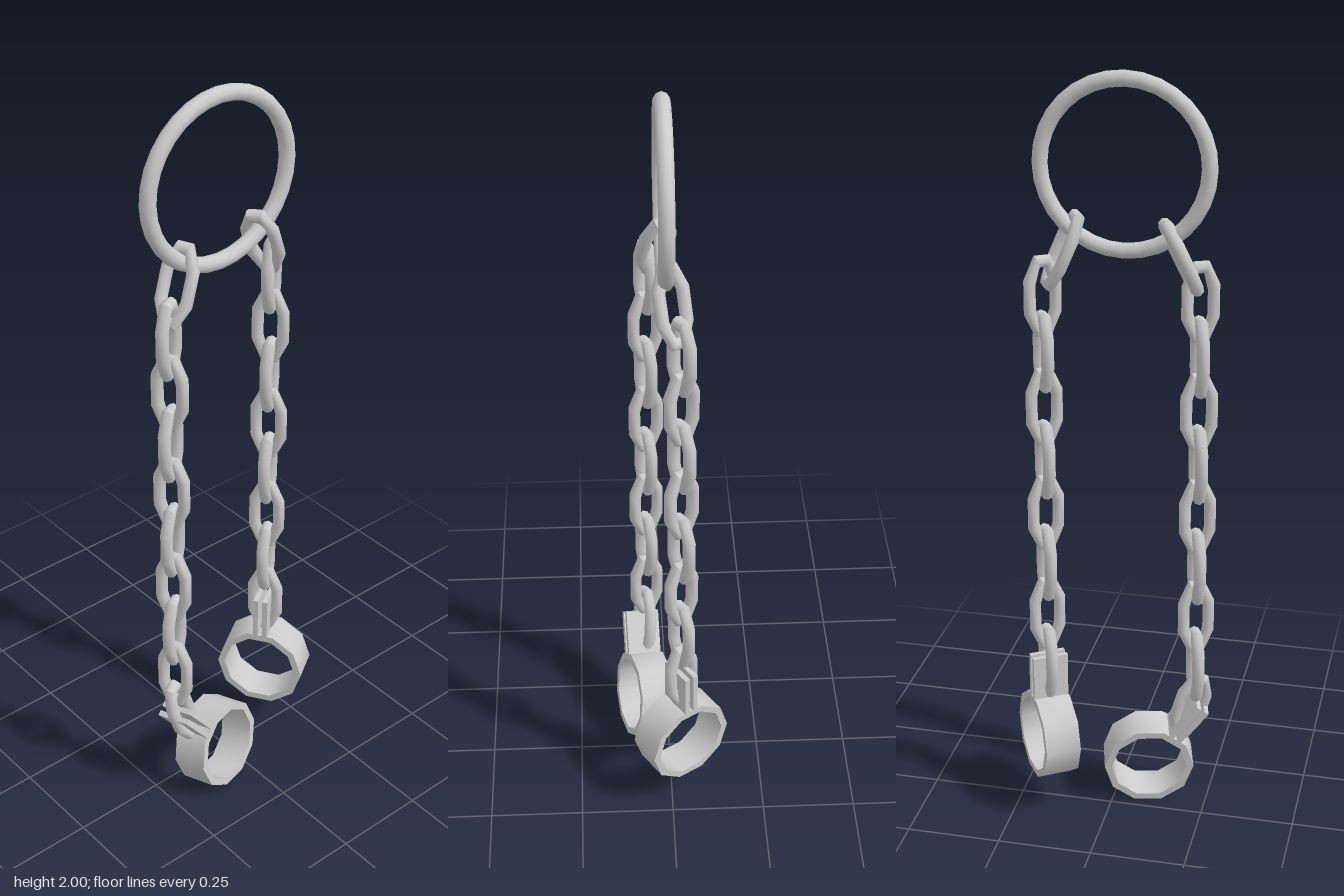
import * as THREE from 'three';
import { toCreasedNormals } from 'three/addons/utils/BufferGeometryUtils.js';

const V = (x, y, z) => new THREE.Vector3(x, y, z);
const metal = new THREE.MeshStandardMaterial({ color: 0xcccccc });

function part(name, geometry, parent) {
  const mesh = new THREE.Mesh(geometry, metal);
  mesh.name = name;
  parent.add(mesh);
  return mesh;
}

// Place an object with its y axis along `up` and its x axis near `side`
function place(object, position, up, side) {
  const y = up.clone().normalize();
  const z = side.clone().cross(y).normalize();
  const x = y.clone().cross(z);
  object.quaternion.setFromRotationMatrix(new THREE.Matrix4().makeBasis(x, y, z));
  object.position.copy(position);
}

// Chain link: an eight-sided ring whose centre line is stretched along y
function linkGeometry() {
  const R = 0.036, stretch = 2.65;
  const g = new THREE.TorusGeometry(R, 0.017, 8, 8).rotateZ(Math.PI / 8);
  const p = g.attributes.position;
  for (let i = 0; i < p.count; i++) {
    const x = p.getX(i), y = p.getY(i);
    const centreY = (y / Math.hypot(x, y)) * R;
    p.setY(i, y + centreY * (stretch - 1));
  }
  g.computeVertexNormals();
  return toCreasedNormals(g, 1.0);
}

// Chain: a first link hooked on the ring, then links alternating by a quarter turn
function makeChain(name, { first, firstUp, start, end, count, side, lastUp }) {
  const chain = new THREE.Group();
  chain.name = name;
  const geometry = linkGeometry();
  const cross = V(side.z, 0, -side.x);
  place(part('hookLink', geometry, chain), first, firstUp, side);
  const up = start.clone().sub(end);
  for (let i = 0; i < count; i++) {
    const position = start.clone().lerp(end, i / (count - 1));
    place(part('chainLink', geometry, chain), position, up, i % 2 ? side : cross);
  }
  if (lastUp) { // final link leaning towards the cuff tabs
    const position = end.clone().add(V(0.012, -0.132, 0.006));
    place(part('chainLink', geometry, chain), position, lastUp, cross);
  }
  return chain;
}

// Cuff: ten-sided band around local z, with a pair of flat tabs on top
function makeCuff(name, position, up, axis) {
  const cuff = new THREE.Group();
  cuff.name = name;
  const outer = 0.121, inner = 0.102, half = 0.0475;
  const profile = [[inner, -half], [outer, -half], [outer, half], [inner, half], [inner, -half]]
    .map(([x, y]) => new THREE.Vector2(x, y));
  const band = new THREE.LatheGeometry(profile, 10, Math.PI / 10).rotateX(Math.PI / 2);
  part('cuffBand', toCreasedNormals(band, 0.7), cuff);
  for (const s of [-1, 1]) {
    part('cuffTab', new THREE.BoxGeometry(0.014, 0.131, 2 * half), cuff)
      .position.set(s * 0.013, 0.1695, 0);
  }
  place(cuff, position, up, up.clone().cross(axis));
  return cuff;
}

export function createModel() {
  const model = new THREE.Group();
  model.name = 'shackles';

  // Large hanging ring
  part('hangingRing', new THREE.TorusGeometry(0.208, 0.02, 10, 32), model)
    .position.set(-0.028, 1.772, 0.0125);

  // Chain and upright cuff on the +x side
  model.add(makeChain('leftChain', {
    first: V(0.122, 1.56, -0.003), firstUp: V(-0.38, 0.92, 0.12),
    start: V(0.168, 1.447, -0.022), end: V(0.166, 0.435, -0.025),
    count: 8, side: V(0.54, 0, 0.84),
  }));
  model.add(makeCuff('leftCuff', V(0.165, 0.22, -0.025), V(0, 1, 0), V(0.84, 0, -0.54)));

  // Chain and tilted cuff on the -x side
  model.add(makeChain('rightChain', {
    first: V(-0.167, 1.552, 0.026), firstUp: V(0.4, 0.9, -0.15),
    start: V(-0.213, 1.436, 0.05), end: V(-0.217, 0.427, 0.055),
    count: 8, side: V(0.42, 0, 0.91), lastUp: V(-0.28, 0.95, -0.05),
  }));
  model.add(makeCuff('rightCuff', V(-0.09, 0.123, 0.065), V(-0.6, 0.78, 0.035), V(0.25, 0.15, 0.95)));

  return model;
}
